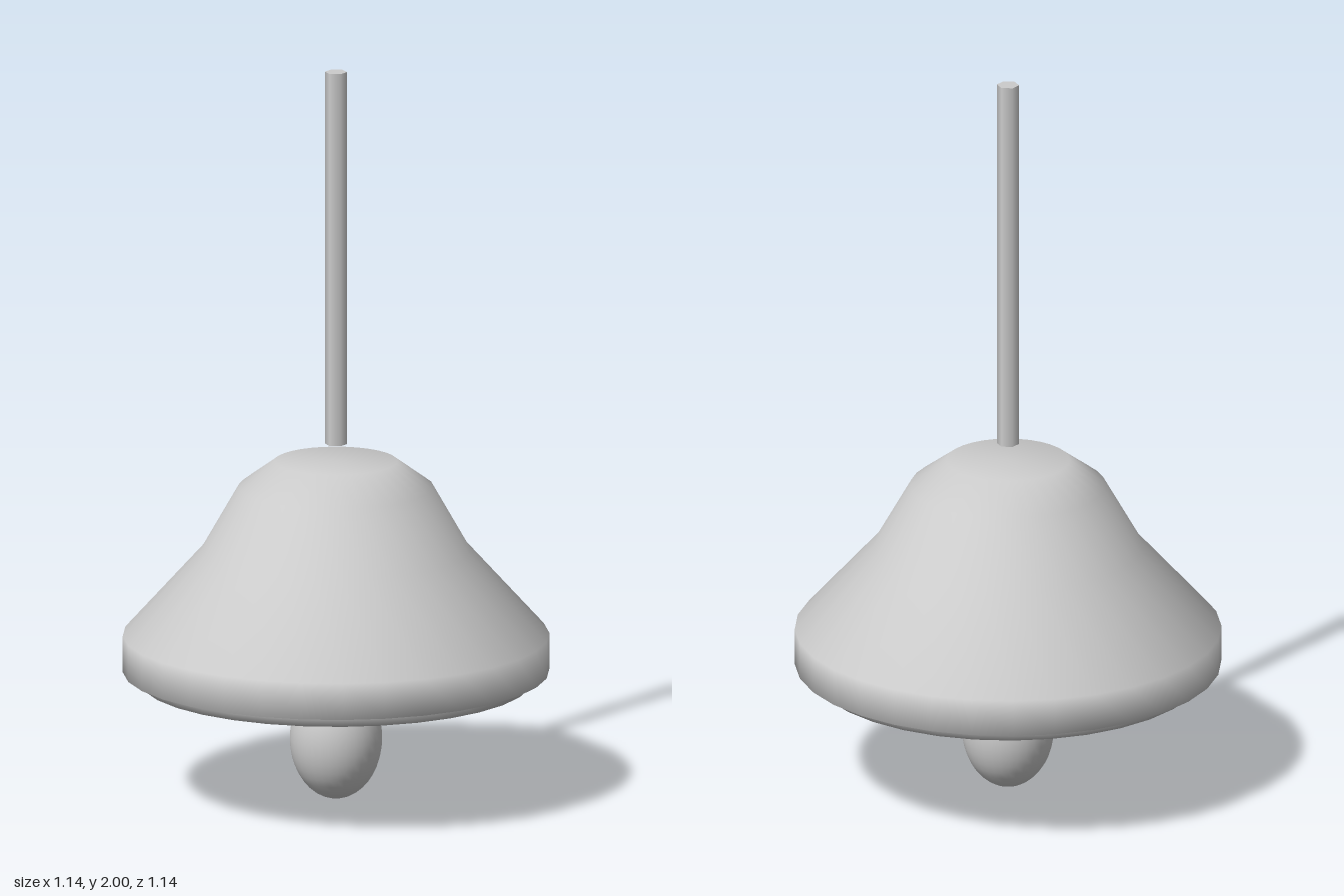
import * as THREE from 'three';

export function createModel() {
  const model = new THREE.Group();
  const grey = new THREE.MeshStandardMaterial({ color: 0xcccccc });
  grey.name = 'light grey';

  const add = (name, geometry, y = 0) => {
    const mesh = new THREE.Mesh(geometry, grey);
    mesh.name = name;
    mesh.position.y = y;
    model.add(mesh);
    return mesh;
  };
  const lathe = (points) =>
    new THREE.LatheGeometry(points.map(([r, y]) => new THREE.Vector2(r, y)), 32);

  // Flared shade with a closed top and a straight rim
  add('shade', lathe([
    [0.525, 0.35], [0.572, 0.35], [0.572, 0.45], [0.36, 0.685],
    [0.262, 0.857], [0.165, 0.928], [0, 0.928],
  ]));

  // Thin recessed lip closing the underside
  add('lowerLip', lathe([[0, 0.32], [0.525, 0.32], [0.525, 0.35]]));

  // Egg-shaped bulb below the shade
  add('bulb', new THREE.SphereGeometry(1, 32, 20), 0.165).scale.set(0.124, 0.165, 0.124);

  // Six-sided hanging rod, floating just above the shade
  add('rod', new THREE.CylinderGeometry(0.03, 0.03, 1.025, 6), 1.4875);

  return model;
}
